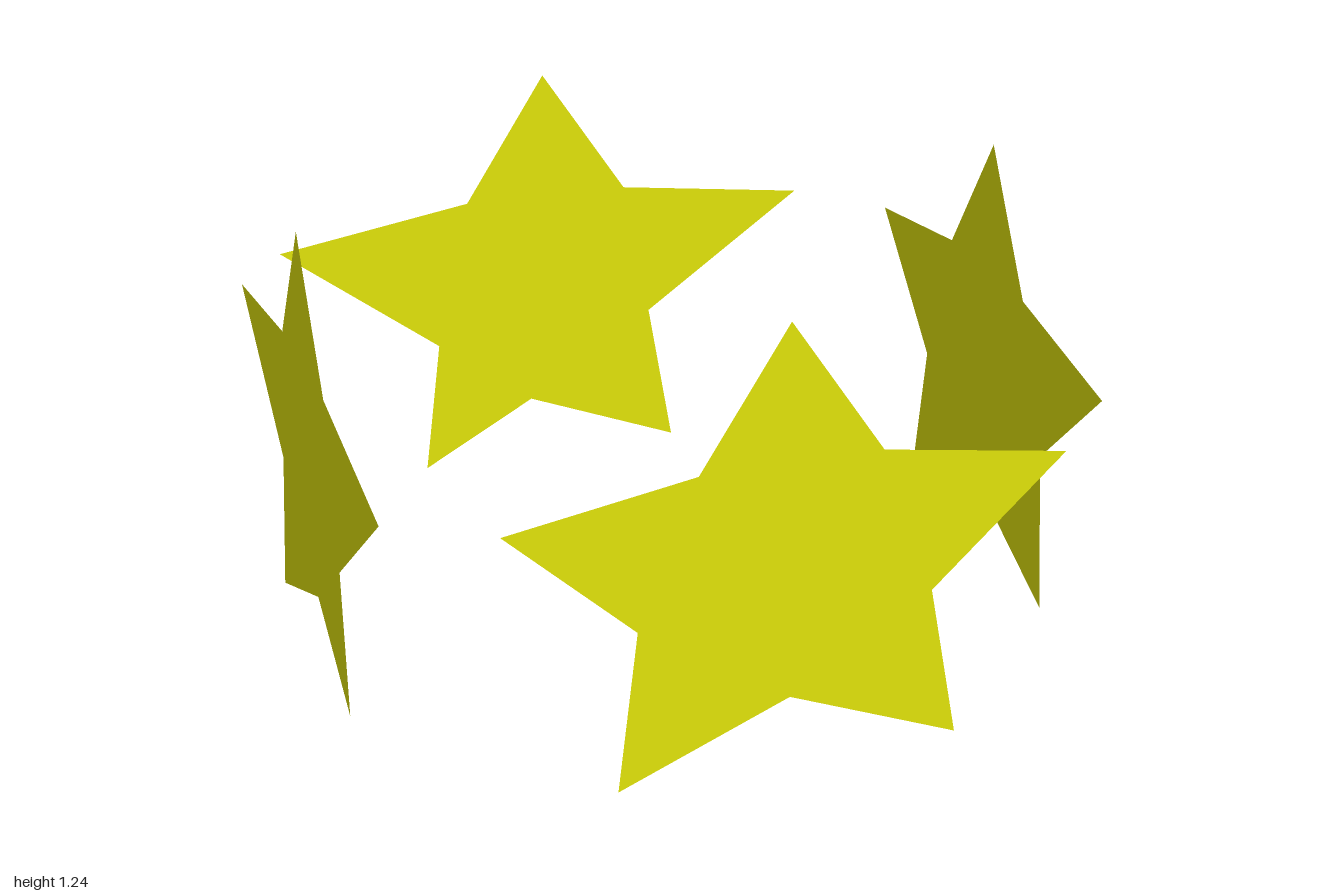
import * as THREE from 'three';

// Outlines clockwise from the top tip, alternating tips and notches (x, y)
const OUTLINE_A = [
  [0.01, 1.245], [0.265, 0.863], [0.77, 0.783], [0.41, 0.442], [0.49, 0.01],
  [0.024, 0.197], [-0.44, 0.002], [-0.387, 0.455], [-0.737, 0.777], [-0.228, 0.863],
];
const OUTLINE_B = [
  [-0.023, 1.245], [0.23, 0.86], [0.79, 0.782], [0.31, 0.443], [0.385, 0.01],
  [-0.075, 0.195], [-0.415, 0.007], [-0.365, 0.413], [-0.843, 0.776], [-0.265, 0.866],
];

const material = new THREE.MeshStandardMaterial({ color: 0xe2e40a, side: THREE.DoubleSide });

// A flat upright star standing at depth z
function star(name, outline, z) {
  const shape = new THREE.Shape(outline.map(([x, y]) => new THREE.Vector2(x, y)));
  const mesh = new THREE.Mesh(new THREE.ShapeGeometry(shape), material);
  mesh.name = name;
  mesh.position.z = z;
  return mesh;
}

export function createModel() {
  const model = new THREE.Group();
  model.name = 'starRing';

  // Two facing pairs, the second a quarter turn round from the first
  [['frontStar', 'backStar'], ['leftStar', 'rightStar']].forEach(([near, far], i) => {
    const pair = new THREE.Group();
    pair.name = i === 0 ? 'frontBackPair' : 'sidePair';
    pair.add(star(near, OUTLINE_A, 1), star(far, OUTLINE_B, -1));
    pair.rotation.y = i * Math.PI / 2;
    model.add(pair);
  });
  return model;
}
